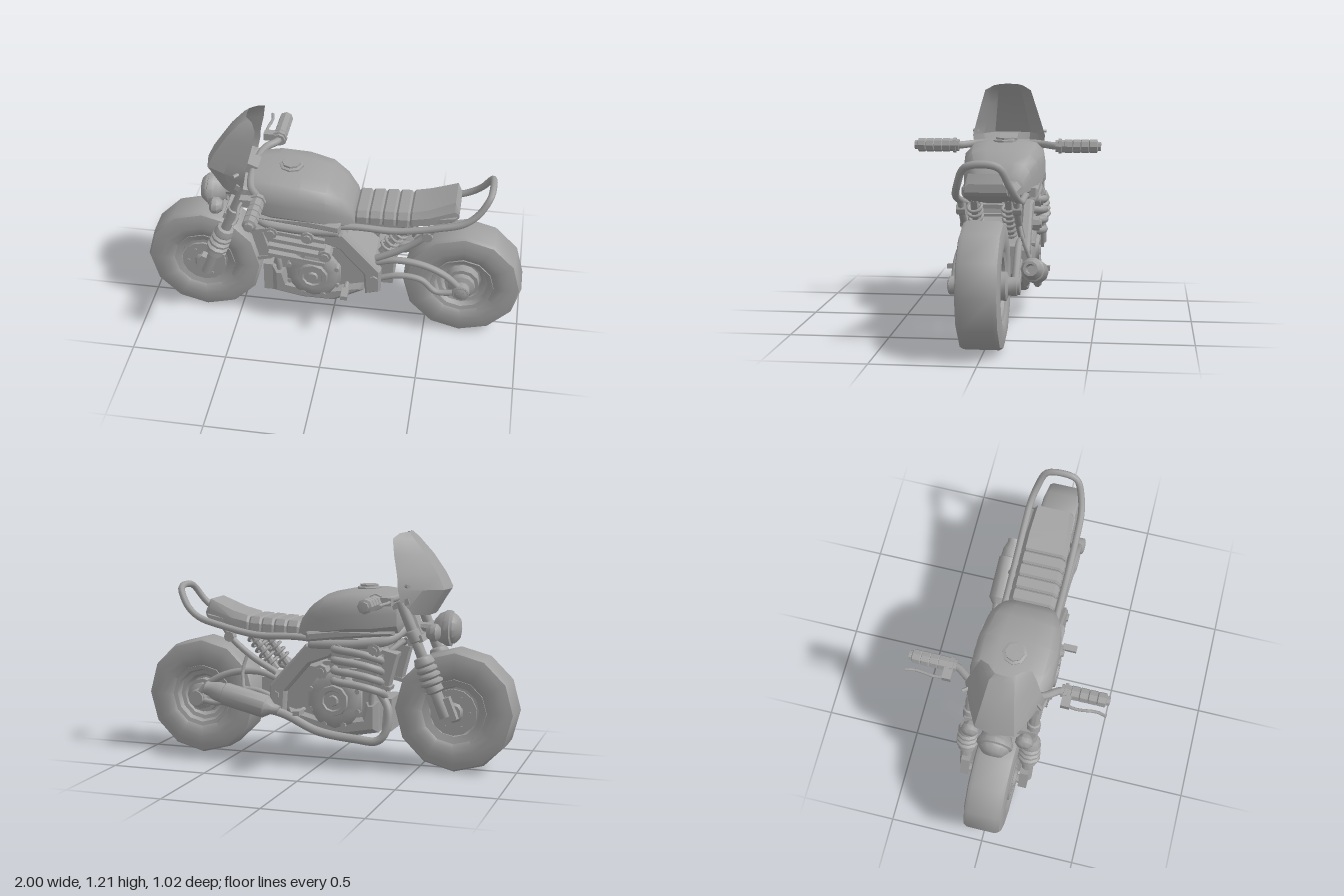
import * as THREE from 'three';
import { toCreasedNormals } from 'three/addons/utils/BufferGeometryUtils.js';

const V = (p) => new THREE.Vector3(...p);

export function createModel() {
  const root = new THREE.Group();
  root.name = 'motorcycle';
  const grey = new THREE.MeshStandardMaterial({ color: 0xa0a0a0 });
  grey.name = 'plain grey';
  const greySheet = grey.clone();
  greySheet.name = 'plain grey sheet';
  greySheet.side = THREE.DoubleSide;

  // ---------- helpers ----------
  const add = (name, geo, pos = [0, 0, 0], parent = root, crease = 0.6) => {
    const mesh = new THREE.Mesh(toCreasedNormals(geo, crease), grey);
    mesh.name = name;
    mesh.position.set(...pos);
    parent.add(mesh);
    return mesh;
  };
  const box = (name, size, pos, tilt = 0, parent = root) => {
    const m = add(name, new THREE.BoxGeometry(...size), pos, parent);
    m.rotation.z = tilt;
    return m;
  };
  const tube = (name, pts, r, closed = false, seg = pts.length * 6) =>
    add(name, new THREE.TubeGeometry(new THREE.CatmullRomCurve3(pts.map(V), closed, 'centripetal'), seg, r, 8, closed), undefined, root, 0.9);
  // turned part whose axis runs from a towards b; profile is [radius, distance]
  const turned = (name, a, b, profile, seg = 10, parent = root) => {
    const m = add(name, new THREE.LatheGeometry(profile.map((p) => new THREE.Vector2(...p)), seg), a, parent, seg < 9 ? 0.5 : 0.75);
    m.quaternion.setFromUnitVectors(new THREE.Vector3(0, 1, 0), V(b).sub(V(a)).normalize());
    return m;
  };
  const rod = (name, a, b, r, seg = 8, parent = root) => {
    const l = V(a).distanceTo(V(b));
    return turned(name, a, b, [[0, 0], [r, 0], [r, l], [0, l]], seg, parent);
  };
  // side profile extruded across z
  const slab = (name, pts, z0, z1, bevel = 0.012) => {
    const shape = new THREE.Shape(pts.map((p) => new THREE.Vector2(...p)));
    const geo = new THREE.ExtrudeGeometry(shape, {
      depth: z1 - z0 - 2 * bevel, bevelSize: bevel, bevelThickness: bevel,
      bevelOffset: -bevel, bevelSegments: 1, bevelEnabled: bevel > 0,
    });
    return add(name, geo, [0, 0, z0 + bevel], root, 0.4);
  };
  // closed skin over rings along x; section is [x, bottom, top, halfWidth], ring is [z, y] in unit size
  const loft = (name, sections, ring, crease) => {
    const n = ring.length, pos = [], idx = [];
    for (const [x, y0, y1, w] of sections)
      for (const [z, y] of ring) pos.push(x, y0 + (y1 - y0) * y, z * w);
    const last = (sections.length - 1) * n;
    for (let i = 0; i < last; i += n)
      for (let j = 0; j < n; j++) {
        const a = i + j, b = i + (j + 1) % n;
        idx.push(a, a + n, b, a + n, b + n, b);
      }
    for (let j = 1; j < n - 1; j++) idx.push(0, j, j + 1, last, last + j + 1, last + j);
    const geo = new THREE.BufferGeometry();
    geo.setAttribute('position', new THREE.Float32BufferAttribute(pos, 3));
    geo.setIndex(idx);
    return add(name, geo, undefined, root, crease);
  };
  const both = (fn) => [1, -1].forEach(fn);

  // ---------- wheels ----------
  const wheel = (name, x, rimProfile) => {
    const g = new THREE.Group();
    g.name = name;
    g.position.set(x, 0.312, 0.005);
    root.add(g);
    const sym = (half) => [...half.map(([r, z]) => [r, -z]), ...half.slice().reverse()];
    const spin = (part, half, seg) => turned(part, [0, 0, 0], [0, 0, 1], sym(half), seg, g);
    spin('tire', [[0.155, 0.05], [0.165, 0.085], [0.19, 0.1], [0.225, 0.105], [0.27, 0.102], [0.3, 0.094], [0.311, 0.075]], 12);
    spin('rim', rimProfile, 12);
    rod('axle', [0, 0, -0.17], [0, 0, 0.17], 0.024, 8, g);
    return g;
  };
  const front = wheel('frontWheel', -0.69, [[0, 0.04], [0.12, 0.04], [0.13, 0.08], [0.166, 0.092], [0.168, 0.06]]);
  both((s) => {
    turned('brakeDisc', [0, 0, s * 0.09], [0, 0, s], [[0.05, 0], [0.12, 0], [0.12, 0.012], [0.05, 0.012], [0, 0.012]], 14, front);
    turned('frontHub', [0, 0, s * 0.03], [0, 0, s], [[0.055, 0], [0.055, 0.07], [0.04, 0.085], [0, 0.085]], 10, front);
    for (let i = 0; i < 6; i++) {
      const a = i * Math.PI / 3;
      rod('discBolt', [0.085 * Math.cos(a), 0.085 * Math.sin(a), s * 0.1], [0.085 * Math.cos(a), 0.085 * Math.sin(a), s * 0.108], 0.008, 6, front);
    }
  });
  const rear = wheel('rearWheel', 0.69, [[0, 0.03], [0.1, 0.03], [0.115, 0.055], [0.135, 0.06], [0.145, 0.088], [0.166, 0.094], [0.168, 0.06]]);
  both((s) => turned('rearHub', [0, 0, s * 0.02], [0, 0, s],
    [[0.09, 0], [0.09, 0.06], [0.07, 0.06], [0.07, 0.09], [0.045, 0.1], [0.045, 0.14], [0.025, 0.15], [0, 0.15]], 12, rear));

  // ---------- front fork ----------
  both((s) => {
    const z = s * 0.165, a = [-0.665, 0.3, z], b = [-0.425, 0.89, z];
    const bellows = [];
    for (let i = 0; i < 4; i++) bellows.push([0.042, 0.17 + i * 0.034], [0.058 - i * 0.002, 0.18 + i * 0.034], [0.058 - i * 0.002, 0.192 + i * 0.034]);
    turned('forkLeg', a, b, [[0, 0], [0.03, 0], [0.03, 0.13], [0.045, 0.14], ...bellows, [0.044, 0.32], [0.027, 0.325],
      [0.027, 0.4], [0.035, 0.405], [0.035, 0.46], [0.027, 0.465], [0.027, 0.62], [0, 0.63]], 10);
    box('axleClamp', [0.075, 0.12, 0.045], [-0.67, 0.335, z * 0.95], -0.38);
    box('brakeCaliper', [0.05, 0.13, 0.05], [-0.605, 0.36, s * 0.14], -0.38);
    rod('caliperBolt', [-0.61, 0.395, s * 0.16], [-0.61, 0.395, s * 0.18], 0.014);
  });
  box('lowerTripleClamp', [0.08, 0.035, 0.37], [-0.51, 0.68, 0], -0.38);
  box('upperTripleClamp', [0.09, 0.03, 0.37], [-0.435, 0.86, 0], -0.38);
  rod('steeringStem', [-0.49, 0.65, 0], [-0.405, 0.87, 0], 0.045);

  // ---------- headlight, side lamps and fairing ----------
  turned('headlight', [-0.57, 0.725, 0], [-1, 0.725, 0],
    [[0, 0], [0.045, 0], [0.075, 0.025], [0.085, 0.05], [0.092, 0.06], [0.092, 0.085], [0.078, 0.09], [0.078, 0.1], [0.055, 0.125], [0, 0.138]], 12);
  rod('headlightBracket', [-0.58, 0.725, 0], [-0.48, 0.725, 0], 0.025);
  both((s) => turned('sideLamp', [-0.56, 0.72, s * 0.14], [-1, 0.72, s * 0.14],
    [[0, 0], [0.025, 0], [0.045, 0.025], [0.045, 0.05], [0.03, 0.065], [0, 0.07]], 10));

  const rows = [[1.212, -0.44, -0.4, 0.08, 1.205], [1.18, -0.475, -0.376, 0.125, 1.18], [1.1, -0.55, -0.39, 0.15, 1.1],
    [1.0, -0.62, -0.415, 0.18, 1.0], [0.93, -0.655, -0.425, 0.2, 0.93], [0.8, -0.57, -0.45, 0.185, 0.81]];
  const cols = [[-1, 1], [-0.75, 0.5], [-0.5, 0.08], [0, 0], [0.5, 0.08], [0.75, 0.5], [1, 1]];
  const fPos = [], fIdx = [], nc = cols.length;
  rows.forEach(([yc, xc, xe, w, ye], i) => cols.forEach(([t, k], j) => {
    fPos.push(xc + (xe - xc) * k, yc + (ye - yc) * k, t * w);
    if (i && j) {
      const d = i * nc + j;
      fIdx.push(d, d - nc, d - 1, d - 1, d - nc, d - nc - 1);
    }
  }));
  const fairing = new THREE.BufferGeometry();
  fairing.setAttribute('position', new THREE.Float32BufferAttribute(fPos, 3));
  fairing.setIndex(fIdx);
  add('windFairing', fairing, undefined, root, 0.5).material = greySheet;
  both((s) => rod('fairingBolt', [-0.46, 0.95, s * 0.175], [-0.48, 0.95, s * 0.2], 0.01, 6));

  // ---------- handlebar ----------
  tube('handlebar', [[-0.34, 0.88, -0.31], [-0.345, 0.88, -0.26], [-0.39, 0.885, -0.19], [-0.41, 0.89, -0.1], [-0.41, 0.89, 0.1],
    [-0.39, 0.885, 0.19], [-0.345, 0.88, 0.26], [-0.34, 0.88, 0.31]], 0.02);
  box('instrument', [0.07, 0.06, 0.1], [-0.43, 0.9, 0], -0.38);
  both((s) => {
    const grip = [[0, 0], [0.034, 0], [0.034, 0.015], [0.042, 0.016], [0.042, 0.032], [0.034, 0.033], [0.034, 0.05]];
    for (let i = 0; i < 4; i++) grip.push([0.037, 0.052 + i * 0.045], [0.037, 0.09 + i * 0.045], [0.031, 0.092 + i * 0.045]);
    turned('grip', [-0.34, 0.88, s * 0.265], [-0.34, 0.88, s], [...grip, [0.024, 0.23], [0.024, 0.245], [0, 0.247]], 8);
    box('leverMount', [0.09, 0.04, 0.045], [-0.38, 0.885, s * 0.3]);
    tube('lever', [[-0.41, 0.885, s * 0.29], [-0.42, 0.885, s * 0.36], [-0.41, 0.885, s * 0.46], [-0.42, 0.885, s * 0.51]], 0.008);
  });

  // ---------- fuel tank and seat ----------
  const tankRing = [[0.8, 0], [1, 0.2], [1, 0.5], [0.96, 0.75], [0.78, 0.93], [0.4, 1], [-0.4, 1], [-0.78, 0.93], [-0.96, 0.75], [-1, 0.5], [-1, 0.2], [-0.8, 0]];
  loft('fuelTank', [[-0.43, 0.74, 0.87, 0.15], [-0.415, 0.71, 0.905, 0.185], [-0.3, 0.69, 0.918, 0.212], [-0.15, 0.68, 0.912, 0.212],
    [-0.02, 0.66, 0.885, 0.195], [0.06, 0.65, 0.83, 0.165], [0.11, 0.65, 0.765, 0.135], [0.125, 0.66, 0.71, 0.12]], tankRing, 0.65);
  turned('fuelCap', [-0.22, 0.9, 0], [-0.22, 1, 0], [[0, 0], [0.063, 0], [0.063, 0.022], [0.048, 0.026], [0.048, 0.036], [0, 0.036]], 8);
  both((s) => slab('tankPanel', [[-0.4, 0.7], [-0.4, 0.72], [-0.1, 0.72], [0.06, 0.7], [0.06, 0.65], [-0.1, 0.67]], s > 0 ? 0.14 : -0.2, s > 0 ? 0.2 : -0.14));

  const seatRing = [[1, 0], [1, 0.55], [0.82, 1], [-0.82, 1], [-1, 0.55], [-1, 0]];
  slab('seatBase', [[0.08, 0.65], [0.35, 0.66], [0.63, 0.73], [0.64, 0.76], [0.35, 0.705], [0.08, 0.7]], -0.115, 0.115, 0.005);
  for (let i = 0; i < 4; i++) {
    const x = 0.125 + i * 0.07, y = 0.742 + i * 0.004;
    loft('seatPad', [[x, 0.68, y - 0.01, 0.115], [x + 0.01, 0.68, y, 0.122], [x + 0.058, 0.68, y + 0.003, 0.122], [x + 0.069, 0.68, y - 0.008, 0.115]], seatRing, 0.4);
  }
  loft('seatRear', [[0.405, 0.69, 0.75, 0.116], [0.415, 0.69, 0.76, 0.122], [0.5, 0.7, 0.782, 0.12], [0.63, 0.73, 0.837, 0.105], [0.652, 0.75, 0.79, 0.1]], seatRing, 0.4);

  // ---------- frame tubes ----------
  const hoop = [[-0.02, 0.65, 0.14], [0.12, 0.665, 0.14], [0.35, 0.665, 0.142], [0.55, 0.705, 0.142], [0.68, 0.745, 0.138], [0.75, 0.8, 0.12], [0.8, 0.88, 0.085], [0.808, 0.898, 0.045]];
  tube('seatRail', [...hoop, ...hoop.slice().reverse().map(([x, y, z]) => [x, y, -z])], 0.018);
  both((s) => {
    tube('seatStay', [[0.53, 0.695, s * 0.135], [0.49, 0.64, s * 0.135], [0.38, 0.55, s * 0.135], [0.24, 0.47, s * 0.135]], 0.018);
    rod('stayJoint', [0.5, 0.65, s * 0.115], [0.5, 0.65, s * 0.158], 0.028);
    tube('upperFrameTube', [[-0.43, 0.72, s * 0.06], [-0.36, 0.67, s * 0.16], [-0.2, 0.645, s * 0.175], [0.05, 0.635, s * 0.16]], 0.026);
    tube('downTube', [[-0.42, 0.66, s * 0.05], [-0.34, 0.58, s * 0.13], [-0.28, 0.42, s * 0.14], [-0.27, 0.3, s * 0.13]], 0.016);
    slab('sidePlate', [[-0.1, 0.62], [0.07, 0.635], [0.27, 0.41], [0.27, 0.275], [0.19, 0.25], [0.18, 0.38], [0.05, 0.53], [-0.06, 0.57]],
      s > 0 ? 0.12 : -0.175, s > 0 ? 0.175 : -0.12);
    for (const [x, y] of [[-0.3, 0.62], [-0.11, 0.61], [-0.02, 0.5]])
      turned('frameBolt', [x, y, s * 0.13], [x, y, s], [[0, 0], [0.036, 0], [0.036, 0.075], [0.022, 0.075], [0.022, 0.085], [0, 0.085]], 8);
    rod('pivotBolt', [0.235, 0.36, s * 0.16], [0.235, 0.36, s * 0.185], 0.022, 6);
    rod('footPeg', [0.09, 0.288, s * 0.14], [0.09, 0.288, s * 0.235], 0.012);
    box('footPegPad', [0.035, 0.024, 0.075], [0.09, 0.288, s * 0.23]);
  });

  // ---------- rear suspension ----------
  both((s) => {
    tube('swingarmUpper', [[0.24, 0.44, s * 0.13], [0.34, 0.47, s * 0.135], [0.48, 0.46, s * 0.14], [0.6, 0.41, s * 0.145], [0.69, 0.325, s * 0.145]], 0.018);
    tube('swingarmLower', [[0.24, 0.33, s * 0.13], [0.36, 0.37, s * 0.135], [0.48, 0.36, s * 0.14], [0.56, 0.295, s * 0.145], [0.69, 0.305, s * 0.145]], 0.016);
    rod('swingarmEnd', [0.69, 0.312, s * 0.12], [0.69, 0.312, s * 0.17], 0.04, 10);
    const a = V([0.26, 0.48, s * 0.085]), b = V([0.42, 0.69, s * 0.085]);
    rod('shockBody', a.toArray(), b.toArray(), 0.02);
    const dir = b.clone().sub(a).normalize(), side = new THREE.Vector3(0, 0, 1), up = dir.clone().cross(side), coil = [];
    for (let i = 0; i <= 48; i++) {
      const t = i * Math.PI / 4;
      coil.push(a.clone().lerp(b, 0.08 + 0.8 * i / 48).addScaledVector(side, 0.034 * Math.cos(t)).addScaledVector(up, 0.034 * Math.sin(t)).toArray());
    }
    tube('shockSpring', coil, 0.008, false, 96);
  });
  box('swingarmBridge', [0.1, 0.14, 0.24], [0.28, 0.37, 0]);

  // ---------- engine ----------
  slab('crankcase', [[-0.32, 0.33], [-0.31, 0.2], [-0.15, 0.16], [0.02, 0.16], [0.19, 0.25], [0.25, 0.29], [0.25, 0.4], [0.08, 0.55], [-0.25, 0.5]], -0.135, 0.135, 0.03);
  slab('bellyPan', [[-0.31, 0.35], [-0.31, 0.19], [-0.15, 0.16], [0.02, 0.16], [0.18, 0.25], [0.18, 0.3], [-0.06, 0.24], [-0.22, 0.27], [-0.24, 0.35]], -0.155, 0.16, 0.025);
  box('cylinderBlock', [0.26, 0.24, 0.27], [-0.17, 0.55, 0], 0.15);
  for (let i = 0; i < 4; i++) box('coolingFin', [0.3, 0.022, 0.36], [-0.17, 0.455 + i * 0.05, 0.015], -0.12);
  both((s) => {
    turned('engineCover', [-0.085, 0.352, s * 0.11], [-0.085, 0.352, s],
      [[0, 0], [0.148, 0], [0.148, 0.055], [0.125, 0.075], [0.082, 0.075], [0.078, 0.092], [0.055, 0.092], [0.05, 0.082], [0.03, 0.082], [0.025, 0.095], [0, 0.095]], 10);
    for (let i = 0; i < 8; i++) {
      const a = (i + 0.5) * Math.PI / 4, x = -0.085 + 0.135 * Math.cos(a), y = 0.352 + 0.135 * Math.sin(a);
      rod('coverBolt', [x, y, s * 0.14], [x, y, s * 0.185], 0.014, 6);
    }
  });
  both((s) => {
    box('radiator', [0.06, 0.18, 0.08], [-0.36, 0.52, s * 0.13], 0.25);
    box('radiatorFrame', [0.08, 0.02, 0.09], [-0.375, 0.605, s * 0.13], 0.25);
    box('radiatorFrame', [0.08, 0.02, 0.09], [-0.34, 0.435, s * 0.13], 0.25);
  });
  box('oilCooler', [0.05, 0.17, 0.2], [-0.335, 0.27, 0.03]);

  // ---------- exhaust ----------
  for (let i = 0; i < 4; i++) {
    const y = 0.62 - i * 0.055;
    tube('headerPipe', [[-0.08, y, -0.15], [-0.1, y, -0.205], [-0.2, y - 0.01, -0.215], [-0.29, y - 0.03, -0.2], [-0.34, y - 0.06, -0.15], [-0.33, y - 0.1, -0.1]], 0.02);
  }
  tube('collectorPipe', [[-0.31, 0.4, -0.12], [-0.365, 0.32, -0.15], [-0.365, 0.22, -0.17], [-0.32, 0.158, -0.18], [-0.2, 0.16, -0.185], [0.0, 0.19, -0.195], [0.16, 0.265, -0.21], [0.26, 0.295, -0.215]], 0.022);
  turned('muffler', [0.2, 0.285, -0.215], [0.6, 0.38, -0.21],
    [[0, 0], [0.026, 0], [0.03, 0.04], [0.055, 0.07], [0.06, 0.075], [0.06, 0.31], [0.052, 0.315], [0.05, 0.36], [0.036, 0.4], [0.036, 0.42], [0.024, 0.42], [0.02, 0.36], [0, 0.36]], 10);
  tube('mufflerBracket', [[0.4, 0.36, -0.2], [0.42, 0.48, -0.16], [0.4, 0.57, -0.135]], 0.01);

  return root;
}
